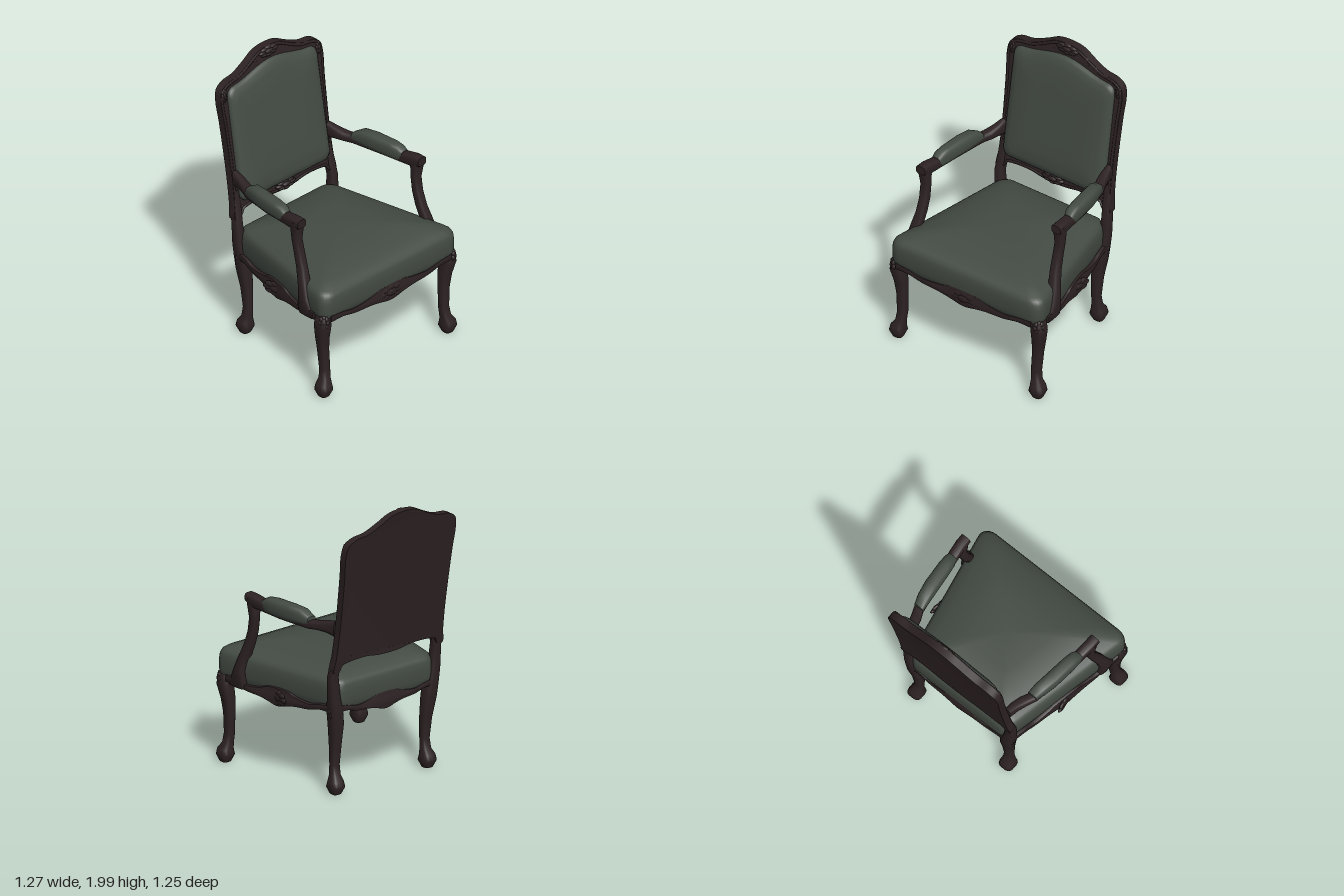
import * as THREE from 'three';
import { toCreasedNormals } from 'three/addons/utils/BufferGeometryUtils.js';

const wood = new THREE.MeshStandardMaterial({ color: 0x2d2223 });
wood.name = 'dark wood';
// Double sided because the seat cover is open underneath
const fabric = new THREE.MeshStandardMaterial({ color: 0x444b44, side: THREE.DoubleSide });
fabric.name = 'grey green fabric';

function mesh(parent, name, geometry, material) {
  const m = new THREE.Mesh(geometry, material);
  m.name = name;
  parent.add(m);
  return m;
}

// Soft square ring of unit size, for bars
function softSquare(count, power) {
  const out = [];
  for (let i = 0; i < count; i++) {
    const a = ((i + 0.5) / count) * Math.PI * 2, c = Math.cos(a), s = Math.sin(a);
    out.push([Math.sign(c) * Math.abs(c) ** (2 / power), Math.sign(s) * Math.abs(s) ** (2 / power)]);
  }
  return out;
}

// Unit square with rounded corners and evenly divided sides, for cushions
function roundedSquare(radius) {
  const out = [], flat = 1 - radius, arc = 6, side = 12;
  for (let q = 0; q < 4; q++) {
    const turn = q * Math.PI / 2, c = Math.round(Math.cos(turn)), s = Math.round(Math.sin(turn));
    const add = (x, y) => out.push([x * c - y * s, x * s + y * c]);
    for (let i = 0; i <= arc; i++) {
      const a = (i / arc) * Math.PI / 2;
      add(flat + radius * Math.cos(a), flat + radius * Math.sin(a));
    }
    for (let i = 1; i < side; i++) add(flat * (1 - 2 * i / side), 1);
  }
  return out;
}

// Skin a stack of rings and close its ends, faces outwards
function loft(rings, openStart = false) {
  const n = rings[0].length, pts = rings.flat(), idx = [];
  for (let r = 0; r < rings.length - 1; r++) {
    for (let i = 0; i < n; i++) {
      const a = r * n + i, b = r * n + (i + 1) % n;
      idx.push(a, b, b + n, a, b + n, a + n);
    }
  }
  for (const end of openStart ? [1] : [0, 1]) {
    const r = end * (rings.length - 1);
    const c = pts.push([0, 1, 2].map(k => rings[r].reduce((sum, p) => sum + p[k] / n, 0))) - 1;
    for (let i = 0; i < n; i++) {
      const a = r * n + i, b = r * n + (i + 1) % n;
      idx.push(c, end ? a : b, end ? b : a);
    }
  }
  const v = pts.map(p => new THREE.Vector3(...p)), tmp = new THREE.Vector3();
  let volume = 0;
  for (let i = 0; i < idx.length; i += 3) volume += v[idx[i]].dot(tmp.crossVectors(v[idx[i + 1]], v[idx[i + 2]]));
  if (volume < 0) idx.reverse();
  const g = new THREE.BufferGeometry();
  g.setAttribute('position', new THREE.Float32BufferAttribute(pts.flat(), 3));
  g.setIndex(idx);
  return toCreasedNormals(g, 0.9);
}

// Upright bar; rows are [y, x, z, half width, half depth]
const section = softSquare(16, 3.2);
const upright = (rows, s) => loft(rows.map(([y, x, z, rx, rz]) =>
  section.map(([u, v]) => [s * x + u * rx, y, z + v * rz])));
// Bar running front to back; rows are [z, x, y, half width, half height]
const lengthwise = (rows, s) => loft(rows.map(([z, x, y, rx, ry]) =>
  section.map(([u, v]) => [s * x + u * rx, y + v * ry, z])));

// Carved shell: a central boss with a fan of petals around it
function shell(parent, name, x, y, z, w, h, d, rotY = 0, rotX = 0) {
  const g = new THREE.Group();
  g.name = name;
  g.position.set(x, y, z);
  g.rotation.set(rotX, rotY, 0);
  const ball = new THREE.SphereGeometry(1, 14, 8);
  mesh(g, 'boss', ball, wood).scale.set(w * 0.5, h * 0.55, d);
  for (let i = 0; i < 8; i++) {
    const a = (i / 8) * Math.PI * 2;
    const petal = mesh(g, 'petal', ball, wood);
    petal.position.set(Math.cos(a) * w * 0.6, Math.sin(a) * h * 0.6, 0);
    petal.scale.set(w * 0.4, h * 0.4, d * 0.75);
  }
  parent.add(g);
}

// Scalloped seat rail of a given half length; rows are [along, bottom, top]
function railGeometry(half) {
  const wave = [[0.2, 0.545, 0.648], [0.35, 0.558, 0.625], [0.6, 0.568, 0.61], [0.8, 0.59, 0.63], [1, 0.59, 0.64]];
  const row = [...wave.map(([u, a, b]) => [-u, a, b]).reverse(), [0, 0.525, 0.655], ...wave];
  const curve = k => new THREE.SplineCurve(row.map(r => new THREE.Vector2(r[0] * half, r[k]))).getPoints(48);
  const shape = new THREE.Shape([...curve(1), ...curve(2).reverse()]);
  const g = new THREE.ExtrudeGeometry(shape, { depth: 0.024, bevelSize: 0.008, bevelThickness: 0.008, bevelSegments: 2, bevelOffset: -0.008 });
  return toCreasedNormals(g.translate(0, 0, -0.012), 0.7);
}

// Leaning, slightly hollow back: depth d is measured forward from its rear
const backZ = (x, y, d) => -0.438 - 0.154 * (y - 0.8) - 0.004 * (1 - (x / 0.47) ** 2) + d;

function buildBack(parent) {
  const half = [[0.1, 0.94], [0.2, 0.955], [0.34, 0.95], [0.4, 0.935], [0.42, 0.895], [0.468, 0.89],
    [0.46, 1.0], [0.455, 1.2], [0.465, 1.6], [0.474, 1.76], [0.457, 1.835], [0.4, 1.872],
    [0.3, 1.887], [0.2, 1.93], [0.1, 1.98]];
  const all = [[0, 0.935], ...half, [0, 1.992], ...half.map(([x, y]) => [-x, y]).reverse()];
  const outline = new THREE.CatmullRomCurve3(all.map(([x, y]) => new THREE.Vector3(x, y, 0)), true, 'centripetal').getPoints(128).slice(0, -1);

  const slab = new THREE.ExtrudeGeometry(new THREE.Shape(outline.map(p => new THREE.Vector2(p.x, p.y))), { depth: 0.055, bevelEnabled: false });
  const pos = slab.attributes.position;
  for (let i = 0; i < pos.count; i++) pos.setZ(i, backZ(pos.getX(i), pos.getY(i), pos.getZ(i)));
  mesh(parent, 'backFrame', toCreasedNormals(slab, 0.7), wood);

  // Raised moulding along the frame
  const edge = outline.filter((p, i) => i % 2 === 0).map(p => {
    const x = p.x * 0.972, y = 1.45 + (p.y - 1.45) * 0.976;
    return new THREE.Vector3(x, y, backZ(x, y, 0.052));
  });
  mesh(parent, 'backMoulding', new THREE.TubeGeometry(new THREE.CatmullRomCurve3(edge, true), 128, 0.011, 6, true), wood);

  // Padded back with an arched top, fuller towards the bottom
  const pad = roundedSquare(0.15);
  const layers = [[1, 0.03], [1, 0.062], [0.985, 0.077], [0.95, 0.089], [0.85, 0.1], [0.6, 0.106], [0.3, 0.107], [0.05, 0.107]];
  mesh(parent, 'backCushion', loft(layers.map(([k, d]) => pad.map(([u, v]) => {
    const x = u * 0.412 * k;
    const arch = 0.065 * Math.max(0, v) * Math.cos(Math.min(1, Math.abs(u) / 0.9) * Math.PI / 2) ** 2;
    const y = 1.422 + (v * 0.415 + arch) * k;
    return [x, y, backZ(x, y, d * (1.02 - 0.08 * v * k))];
  }))), fabric);

  shell(parent, 'crestCarving', 0, 1.955, backZ(0, 1.955, 0.055), 0.09, 0.04, 0.02, 0, -0.15);
  shell(parent, 'lowerCarving', 0, 0.98, backZ(0, 0.98, 0.068), 0.09, 0.04, 0.025, 0, -0.15);
  for (const s of [-1, 1]) {
    shell(parent, 'cornerCarving', s * 0.438, 1.8, backZ(0.438, 1.8, 0.055), 0.025, 0.05, 0.014, 0, -0.15);
  }
}

function buildSeat(parent) {
  const base = roundedSquare(0.16);
  const layers = [[0.965, 0.59], [0.985, 0.61], [1, 0.66], [1, 0.73], [0.993, 0.77], [0.975, 0.795],
    [0.94, 0.811], [0.8, 0.838], [0.6, 0.864], [0.4, 0.878], [0.05, 0.884]];
  mesh(parent, 'seatCushion', loft(layers.map(([k, y]) => base.map(([u, v]) =>
    [u * k * (0.53 + 0.105 * v), y, 0.09 + v * 0.525 * k])), true), fabric);

  mesh(parent, 'frontRail', railGeometry(0.56), wood).position.z = 0.596;
  mesh(parent, 'backRail', railGeometry(0.41), wood).position.z = -0.415;
  shell(parent, 'frontRailCarving', 0, 0.588, 0.607, 0.11, 0.062, 0.018);
  for (const s of [-1, 1]) {
    const rail = mesh(parent, 'sideRail', railGeometry(0.45), wood);
    rail.position.set(s * 0.522, 0, 0.06);
    rail.rotation.y = Math.atan2(-0.9, s * 0.17);
    shell(parent, 'sideRailCarving', s * 0.535, 0.59, 0.05, 0.1, 0.055, 0.018, s * 1.384);
  }
}

export function createModel() {
  const chair = new THREE.Group();
  chair.name = 'armchair';
  buildBack(chair);
  buildSeat(chair);

  for (const s of [-1, 1]) {
    mesh(chair, 'frontLeg', upright([
      [0, 0.575, 0.555, 0.034, 0.034], [0.05, 0.575, 0.555, 0.056, 0.056], [0.09, 0.575, 0.555, 0.048, 0.05],
      [0.13, 0.56, 0.547, 0.035, 0.035], [0.2, 0.552, 0.54, 0.033, 0.033], [0.35, 0.56, 0.533, 0.036, 0.036],
      [0.45, 0.568, 0.535, 0.043, 0.044], [0.55, 0.58, 0.55, 0.05, 0.054], [0.62, 0.58, 0.552, 0.044, 0.05],
      [0.67, 0.57, 0.54, 0.022, 0.026]], s), wood);
    shell(chair, 'kneeCarving', s * 0.596, 0.59, 0.577, 0.04, 0.058, 0.03, s * 0.78);

    // Back leg continues upward into the stile
    mesh(chair, 'backLeg', upright([
      [0, 0.395, -0.38, 0.034, 0.034], [0.05, 0.395, -0.38, 0.056, 0.057], [0.09, 0.395, -0.38, 0.048, 0.048],
      [0.13, 0.39, -0.366, 0.035, 0.034], [0.2, 0.388, -0.36, 0.031, 0.03], [0.35, 0.39, -0.37, 0.039, 0.037],
      [0.5, 0.4, -0.388, 0.05, 0.046], [0.6, 0.412, -0.392, 0.05, 0.048], [0.7, 0.43, -0.403, 0.04, 0.04],
      [0.85, 0.442, -0.408, 0.034, 0.034], [0.95, 0.434, -0.427, 0.032, 0.033], [1.1, 0.43, -0.452, 0.026, 0.028]], s), wood);
    shell(chair, 'backKneeCarving', s * 0.435, 0.6, -0.405, 0.035, 0.06, 0.03, s * 2.3);

    mesh(chair, 'armSupport', upright([
      [0.575, 0.578, 0.415, 0.032, 0.08], [0.63, 0.582, 0.4, 0.038, 0.068], [0.7, 0.582, 0.388, 0.04, 0.046],
      [0.8, 0.568, 0.36, 0.038, 0.038], [0.9, 0.553, 0.325, 0.034, 0.036], [1, 0.549, 0.295, 0.033, 0.033],
      [1.1, 0.553, 0.276, 0.034, 0.03], [1.18, 0.556, 0.28, 0.038, 0.04], [1.24, 0.558, 0.288, 0.039, 0.036]], s), wood);
    mesh(chair, 'armRail', lengthwise([
      [0.33, 0.558, 1.236, 0.038, 0.032], [0.27, 0.557, 1.223, 0.039, 0.047], [0.17, 0.546, 1.212, 0.038, 0.04],
      [0, 0.53, 1.19, 0.036, 0.026], [-0.24, 0.492, 1.19, 0.037, 0.03], [-0.3, 0.466, 1.195, 0.039, 0.032],
      [-0.37, 0.446, 1.2, 0.034, 0.042], [-0.44, 0.436, 1.2, 0.026, 0.058]], s), wood);
    mesh(chair, 'armPad', lengthwise([
      [0.175, 0.545, 1.225, 0.034, 0.032], [0.14, 0.541, 1.23, 0.043, 0.053], [0.08, 0.536, 1.232, 0.048, 0.06],
      [-0.08, 0.52, 1.232, 0.05, 0.061], [-0.18, 0.504, 1.23, 0.046, 0.055], [-0.245, 0.491, 1.215, 0.037, 0.03]], s), fabric);
  }
  return chair;
}
